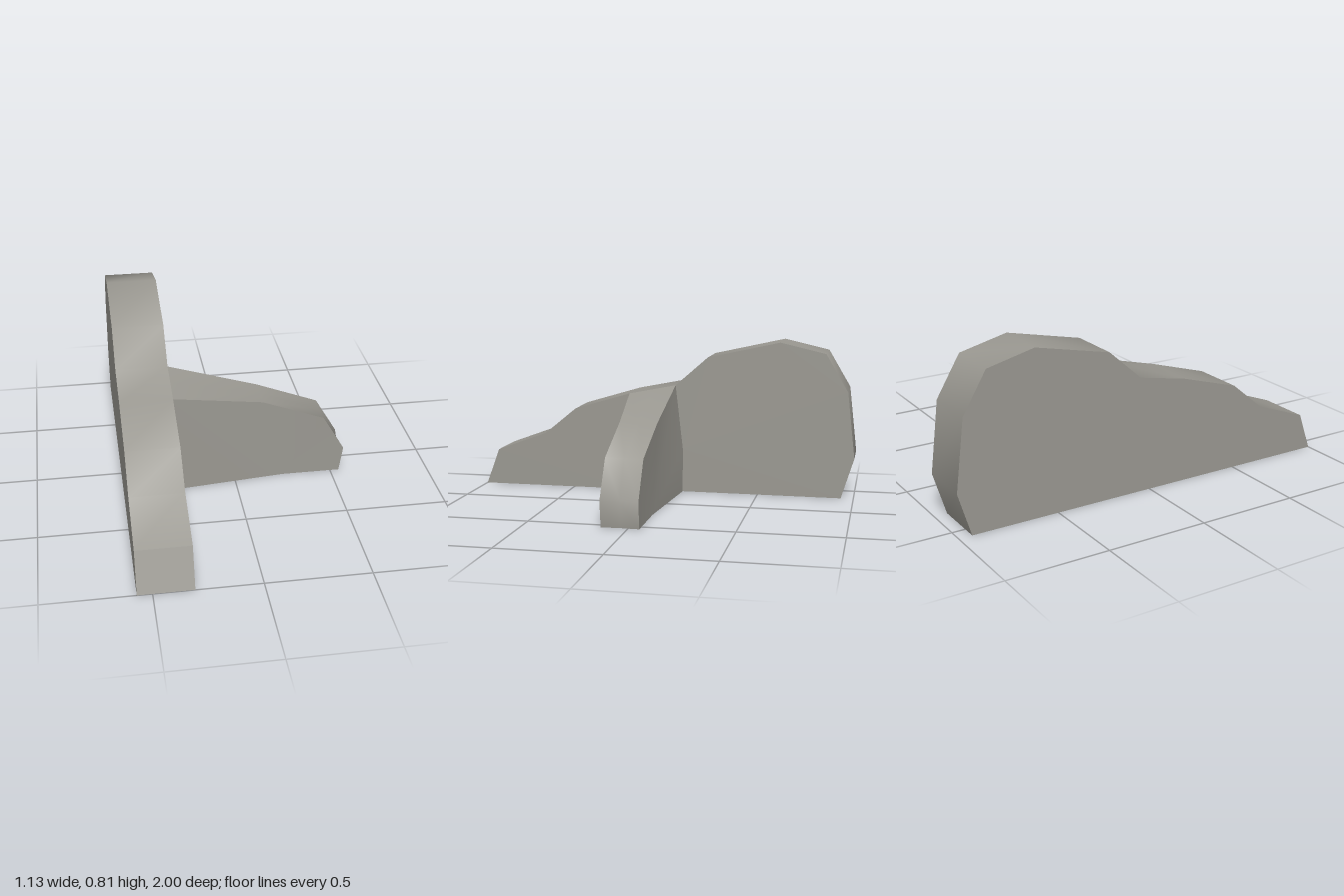
import * as THREE from 'three';
import { mergeGeometries, toCreasedNormals } from 'three/addons/utils/BufferGeometryUtils.js';

const OUT = -0.57, IN = -0.31; // the two sides of the long plate

function fromTriangles(tris) {
  const g = new THREE.BufferGeometry();
  g.setAttribute('position', new THREE.Float32BufferAttribute(tris.flat(), 3));
  return g;
}

const quad = (a, b, c, d) => [a, b, c, a, c, d];

// flat side wall from a (z, y) outline, facing +x or -x
function sideWall(outline, x, dir) {
  const shape = new THREE.Shape(outline.map(([z, y]) => new THREE.Vector2(-dir * z, y)));
  const g = new THREE.ShapeGeometry(shape).rotateY(dir * Math.PI / 2).translate(x, 0, 0).toNonIndexed();
  g.deleteAttribute('uv');
  g.deleteAttribute('normal');
  return g;
}

export function createModel() {
  const group = new THREE.Group();
  const grey = new THREE.MeshStandardMaterial({ color: 0x9b9992, side: THREE.DoubleSide });
  grey.name = 'warm grey';

  const add = (name, geometry) => {
    const mesh = new THREE.Mesh(toCreasedNormals(geometry, 0.85), grey);
    mesh.name = name;
    group.add(mesh);
  };

  // long plate: hollow, open underneath and where the wing joins
  const front = [[1, 0], [0.93, 0.19], [0.66, 0.29], [0.49, 0.43], [0.19, 0.52]];
  const back = [[-0.06, 0.57], [-0.23, 0.72], [-0.61, 0.805], [-0.845, 0.75],
    [-0.96, 0.555], [-1, 0.21], [-0.935, 0]];
  const profile = [...front, ...back];
  const rim = [];
  for (let i = 0; i < profile.length - 1; i++) {
    const [az, ay] = profile[i], [bz, by] = profile[i + 1];
    rim.push(...quad([OUT, ay, az], [IN, ay, az], [IN, by, bz], [OUT, by, bz]));
  }
  add('longPlate', mergeGeometries([
    fromTriangles(rim),
    sideWall(profile, OUT, -1),
    sideWall([...front, [0.19, 0]], IN, 1),
    sideWall([...back, [-0.10, 0], [-0.10, 0.23]], IN, 1),
  ]));

  // side wing: rows run from the root to the tip as front, middle, back
  const rows = [
    [[IN, 0.52, 0.19], [IN, 0.545, 0.065], [IN, 0.57, -0.06]],
    [[0.14, 0.435, 0.135], [0.14, 0.435, 0.04], [0.14, 0.435, -0.055]],
    [[0.455, 0.315, 0.13], [0.45, 0.315, 0.037], [0.455, 0.315, -0.055]],
    [[0.565, 0.13, 0.13], [0.55, 0.13, 0.037], [0.565, 0.13, -0.055]],
    [[0.545, 0, 0.13], [0.54, 0, 0.037], [0.545, 0, -0.055]],
  ];
  const top = [];
  for (let i = 0; i < rows.length - 1; i++) {
    for (let j = 0; j < 2; j++) {
      top.push(...quad(rows[i][j], rows[i + 1][j], rows[i + 1][j + 1], rows[i][j + 1]));
    }
  }

  // wing walls fan out from the bend in the bottom edge
  const fan = (centre, loop, flip) => loop.slice(1).flatMap((p, i) =>
    flip ? [centre, p, loop[i]] : [centre, loop[i], p]);
  const tipToRoot = [...rows].reverse();
  const frontWall = fan([0.25, 0, 0.13], [...tipToRoot.map(r => r[0]), [IN, 0, 0.19]], false);
  const backWall = fan([0.25, 0, -0.055],
    [...tipToRoot.map(r => r[2]), [IN, 0.23, -0.10], [IN, 0, -0.10]], true);
  add('sideWing', fromTriangles([...top, ...frontWall, ...backWall]));

  return group;
}
